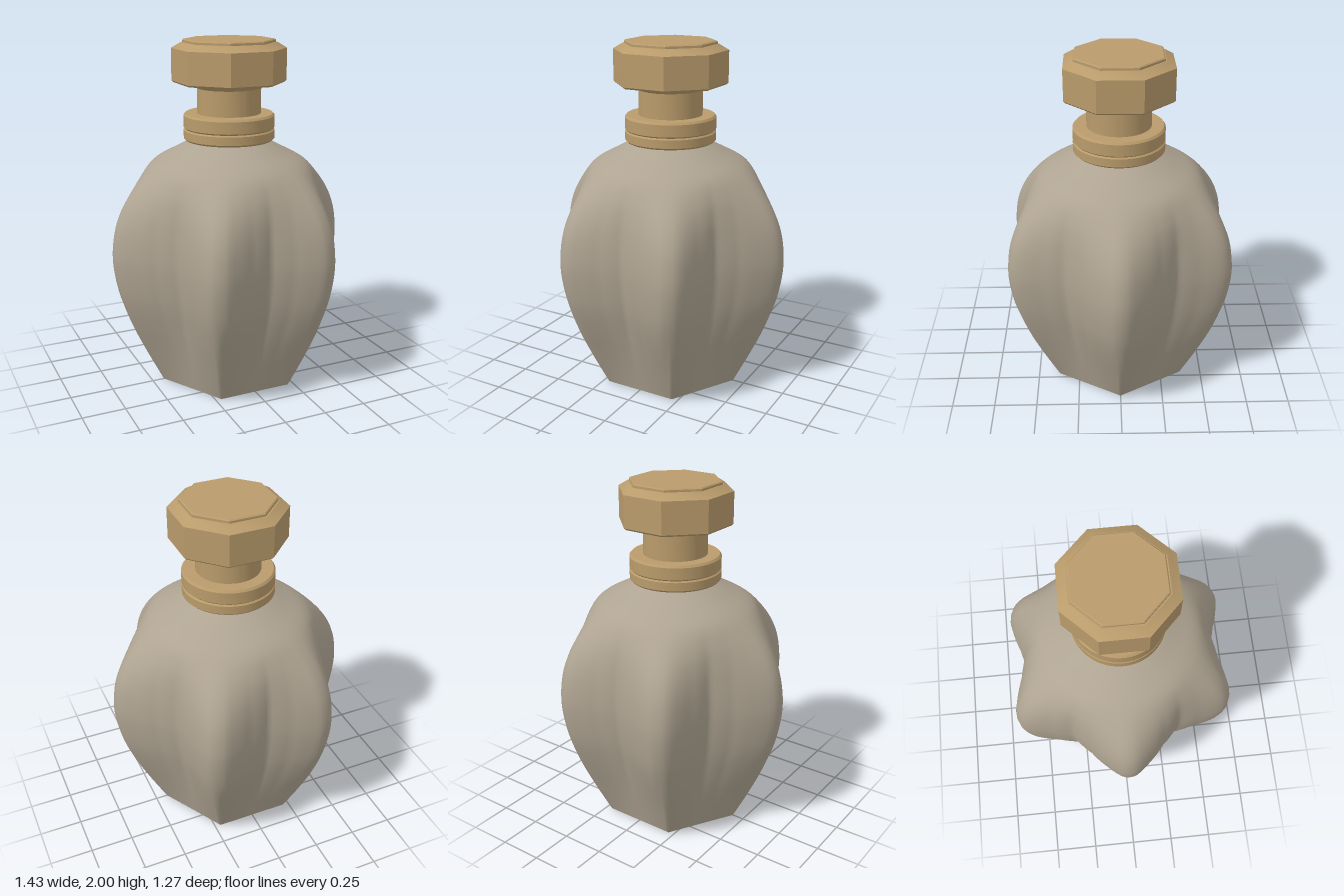
import * as THREE from 'three';
import { toCreasedNormals } from 'three/addons/utils/BufferGeometryUtils.js';

const glass = new THREE.MeshStandardMaterial({ name: 'taupe glass', color: 0xafa492 });
const gold = new THREE.MeshStandardMaterial({ name: 'brushed gold', color: 0xb99b6b });

// One quarter of the six-pointed star section: [degrees, radius]
const STAR = [[0, 0.712], [3, 0.709], [12, 0.645], [22, 0.582], [35, 0.54],
  [47, 0.61], [57, 0.70], [60, 0.71], [65, 0.705], [69, 0.672], [78, 0.603], [90, 0.55]];
// Body profile: [height, ridge radius, valley radius]
const PROFILE = [[0, 0.43, 0.372], [0.2, 0.53, 0.425], [0.4, 0.62, 0.475], [0.6, 0.685, 0.52],
  [0.78, 0.712, 0.543], [0.9, 0.705, 0.545], [1.0, 0.682, 0.54], [1.1, 0.635, 0.53],
  [1.2, 0.56, 0.507], [1.3, 0.455, 0.45], [1.38, 0.315, 0.315], [1.44, 0.2, 0.2]];

// Share of the way from valley (0) to ridge (1) on the star
function starShare(deg) {
  let a = deg % 180;
  if (a > 90) a = 180 - a;
  let i = 1;
  while (i < STAR.length - 1 && a > STAR[i][0]) i++;
  const [a0, r0] = STAR[i - 1], [a1, r1] = STAR[i];
  return (THREE.MathUtils.mapLinear(a, a0, a1, r0, r1) - 0.543) / 0.169;
}

// The same share on a plain hexagon
function hexShare(deg) {
  const c = Math.cos(Math.PI / 6);
  return (c / Math.cos(THREE.MathUtils.degToRad((deg % 60) - 30)) - c) / (1 - c);
}

// Body skin: hexagon at the foot, star at the belly, circle at the neck
function bodyGeometry() {
  const curve = new THREE.CatmullRomCurve3(PROFILE.map(([y, r, v]) => new THREE.Vector3(r, y, v)));
  const around = 180, rows = 66;
  const positions = [], index = [];
  for (let j = 0; j <= rows; j++) {
    const p = curve.getPoint(j / rows);
    const blend = THREE.MathUtils.smoothstep(p.y, 0, 0.6);
    for (let i = 0; i < around; i++) {
      const deg = (i * 360) / around, t = THREE.MathUtils.degToRad(deg);
      const share = THREE.MathUtils.lerp(hexShare(deg), starShare(deg), blend);
      const r = p.z + (p.x - p.z) * share;
      positions.push(r * Math.cos(t), p.y, r * Math.sin(t));
    }
  }
  for (let j = 0; j < rows; j++) {
    for (let i = 0; i < around; i++) {
      const n = (i + 1) % around;
      const a = j * around + i, b = j * around + n, c = a + around, d = b + around;
      index.push(a, c, b, b, c, d);
    }
  }
  const geo = new THREE.BufferGeometry();
  geo.setAttribute('position', new THREE.Float32BufferAttribute(positions, 3));
  geo.setIndex(index);
  geo.computeVertexNormals();
  return geo;
}

// Turned part from [radius, height] points; few sides give a faceted part
function turned(points, sides = 64) {
  const geo = new THREE.LatheGeometry(points.map(([r, y]) => new THREE.Vector2(r, y)), sides, Math.PI / sides);
  return toCreasedNormals(geo, 0.5);
}

export function createModel() {
  const model = new THREE.Group();
  model.name = 'perfumeBottle';
  const add = (name, geo, material) => {
    const mesh = new THREE.Mesh(geo, material);
    mesh.name = name;
    model.add(mesh);
  };

  // Fluted bottle and its flat hexagonal foot
  add('bottleBody', bodyGeometry(), glass);
  add('bottleBase', new THREE.CircleGeometry(0.43, 6).rotateX(Math.PI / 2), glass);

  // Collar of two bands with a fine groove between
  add('collar', turned([[0, 1.435], [0.25, 1.435], [0.26, 1.445], [0.26, 1.492], [0.252, 1.5],
    [0.26, 1.508], [0.26, 1.575], [0.25, 1.587], [0, 1.587]]), gold);

  // Neck with a small flare below the stopper
  add('neck', turned([[0.182, 1.57], [0.182, 1.73], [0.195, 1.745], [0.22, 1.77]]), gold);

  // Octagonal stopper with a bevelled top and a raised plate
  const k = 1 / Math.cos(Math.PI / 8);
  add('stopper', turned([[0, 1.76], [0.29 * k, 1.76], [0.3 * k, 1.77], [0.3 * k, 1.95],
    [0.25 * k, 1.982], [0, 1.982]], 8), gold);
  add('stopperPlate', turned([[0.242 * k, 1.975], [0.242 * k, 1.994], [0.236 * k, 2], [0, 2]], 8), gold);

  return model;
}
